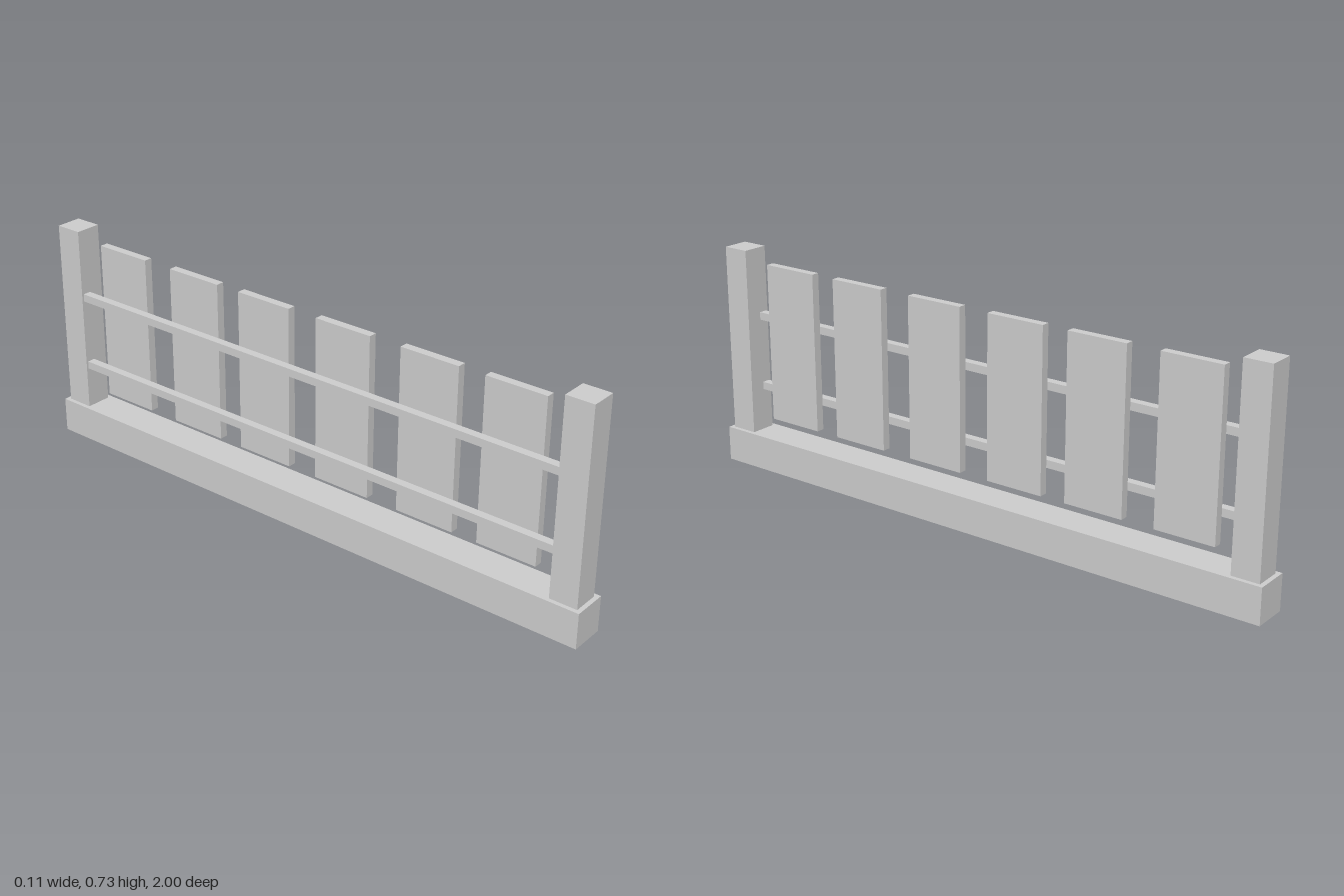
import * as THREE from 'three';

export function createModel() {
  const group = new THREE.Group();
  const material = new THREE.MeshStandardMaterial({ color: 0xcccccc, flatShading: true });

  // Box given by its lower and upper limits on each axis
  function addBox(name, [x0, x1], [y0, y1], [z0, z1]) {
    const mesh = new THREE.Mesh(new THREE.BoxGeometry(x1 - x0, y1 - y0, z1 - z0), material);
    mesh.position.set((x0 + x1) / 2, (y0 + y1) / 2, (z0 + z1) / 2);
    mesh.name = name;
    group.add(mesh);
  }

  const baseTop = 0.114;
  const postInner = 0.897;

  // Long plinth
  addBox('base', [-0.057, 0.057], [0, baseTop], [-1, 1]);

  // End posts
  addBox('frontPost', [-0.043, 0.043], [baseTop, 0.73], [postInner, 0.986]);
  addBox('backPost', [-0.043, 0.043], [baseTop, 0.73], [-0.986, -postInner]);

  // Two rails between the posts, behind the boards
  addBox('lowerRail', [-0.036, -0.009], [0.251, 0.276], [-postInner, postInner]);
  addBox('upperRail', [-0.036, -0.009], [0.49, 0.515], [-postInner, postInner]);

  // Six upright boards, slightly unevenly spaced
  const boardHalf = 0.098;
  [0.73, 0.449, 0.146, -0.152, -0.432, -0.734].forEach((z, i) => {
    addBox(`board${i + 1}`, [-0.009, 0.018], [0.17, 0.69], [z - boardHalf, z + boardHalf]);
  });

  return group;
}
